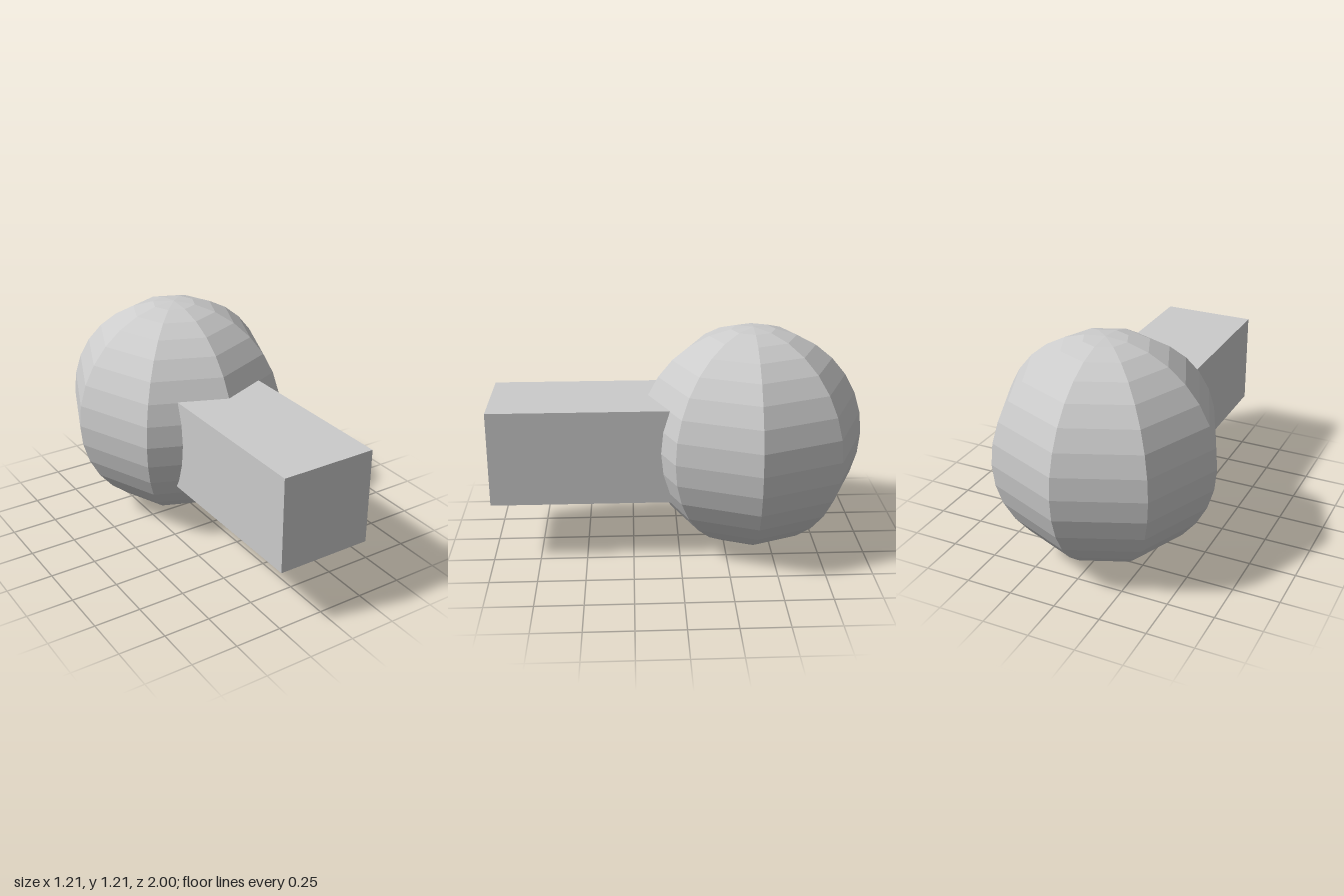
import * as THREE from 'three';

const material = new THREE.MeshStandardMaterial({ color: 0xcccccc, flatShading: true });

function addPart(group, name, geometry, x, y, z) {
  const mesh = new THREE.Mesh(geometry, material);
  mesh.name = name;
  mesh.position.set(x, y, z);
  group.add(mesh);
}

export function createModel() {
  const group = new THREE.Group();
  group.name = 'model';

  // Eight-sided faceted ball at the back
  const radius = 0.604;
  addPart(group, 'ball', new THREE.SphereGeometry(radius, 8, 16), 0, radius, radius - 1);

  // Square bar running forward from inside the ball
  const size = 0.513, back = -0.1, front = 1;
  addPart(group, 'bar', new THREE.BoxGeometry(size, size, front - back), 0.005, 0.582, (front + back) / 2);

  return group;
}
